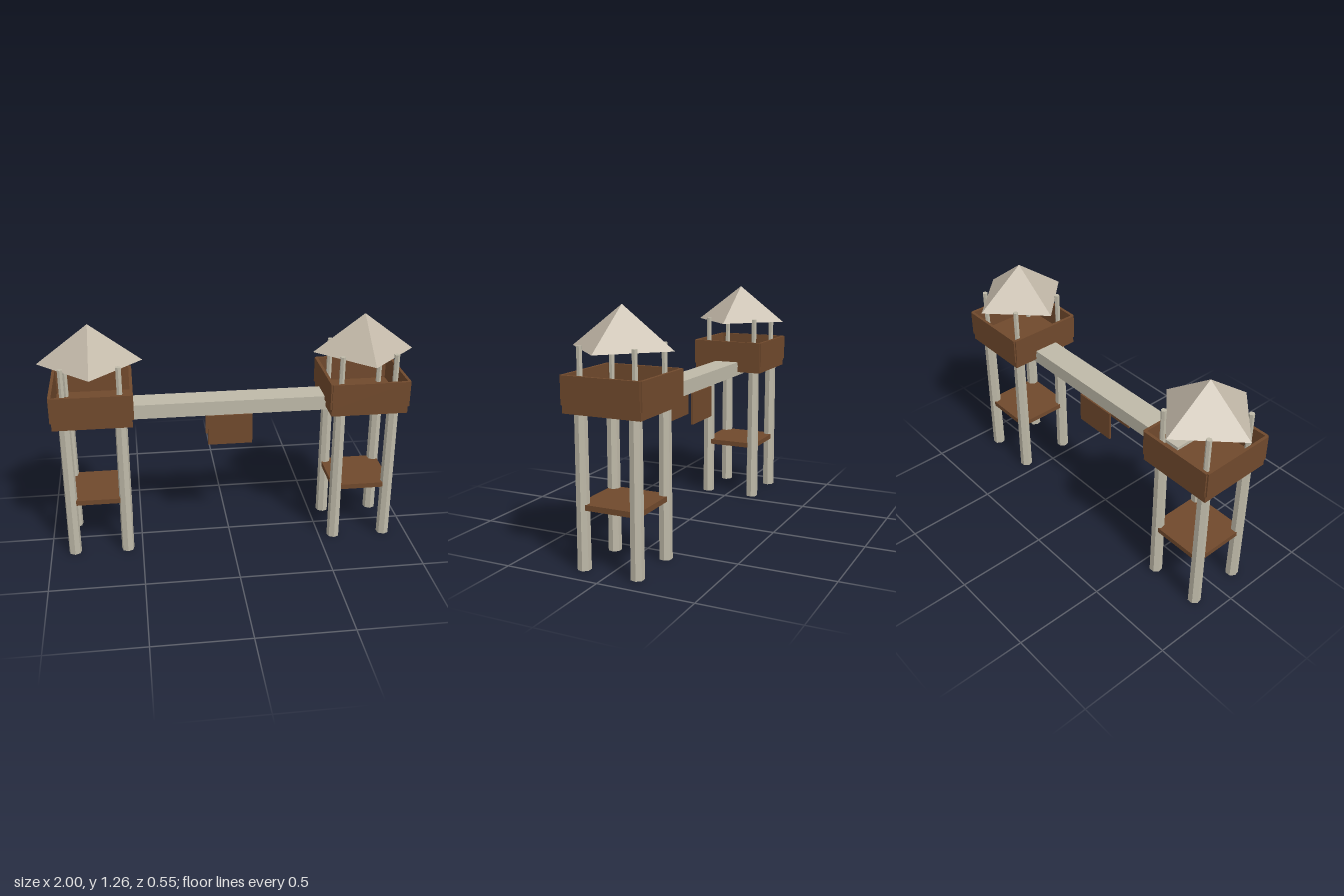
import * as THREE from 'three';

const mat = (name, color) => {
  const m = new THREE.MeshStandardMaterial({ color });
  m.name = name;
  return m;
};

export function createModel() {
  const timber = mat('pale timber', 0xbeb9a8);
  const roofing = mat('roof canvas', 0xc2b8a8);
  const brown = mat('brown boards', 0x70492c);

  // Flat facets come from unshared vertices with computed normals
  const faceted = (geometry) => {
    const g = geometry.toNonIndexed();
    g.computeVertexNormals();
    return g;
  };

  const add = (parent, name, geometry, material, x, y, z) => {
    const mesh = new THREE.Mesh(geometry, material);
    mesh.name = name;
    mesh.position.set(x, y, z);
    parent.add(mesh);
    return mesh;
  };
  const box = (parent, name, material, w, y0, y1, d, x = 0, z = 0) =>
    add(parent, name, new THREE.BoxGeometry(w, y1 - y0, d), material, x, (y0 + y1) / 2, z);

  const legGeometry = faceted(new THREE.CylinderGeometry(0.032, 0.035, 0.77, 7));
  const postGeometry = faceted(new THREE.CylinderGeometry(0.015, 0.015, 0.27, 6));
  const roofGeometry = faceted(new THREE.ConeGeometry(0.273, 0.205, 4));

  function makeTower() {
    const tower = new THREE.Group();

    // Legs and the slim roof posts above them
    for (const sx of [-1, 1]) {
      for (const sz of [-1, 1]) {
        add(tower, 'leg', legGeometry, timber, sx * 0.145, 0.385, sz * 0.145);
        add(tower, 'roofPost', postGeometry, timber, sx * 0.145, 0.945, sz * 0.145);
      }
    }

    // Lower shelf and upper floor
    box(tower, 'shelf', brown, 0.33, 0.302, 0.33, 0.33);
    box(tower, 'floor', brown, 0.412, 0.77, 0.812, 0.412);

    // Parapet walls, centred on the floor's edges
    for (const s of [-1, 1]) {
      box(tower, 'sideWall', brown, 0.016, 0.81, 0.95, 0.412, s * 0.206, 0);
      box(tower, 'endWall', brown, 0.412, 0.81, 0.95, 0.016, 0, s * 0.206);
    }

    // Pyramid roof with its corners on the axes
    add(tower, 'roof', roofGeometry, roofing, 0, 1.1625, 0);
    return tower;
  }

  const model = new THREE.Group();
  model.name = 'twinTowers';

  for (const [name, x] of [['leftTower', 0.727], ['rightTower', -0.727]]) {
    const tower = makeTower();
    tower.name = name;
    tower.position.x = x;
    model.add(tower);
  }

  // Bridge between the towers, its ends reaching onto the floors
  box(model, 'bridgeDeck', timber, 1.234, 0.802, 0.83, 0.14);
  box(model, 'bridgeBeam', timber, 1.234, 0.75, 0.802, 0.135);

  // Boards hanging from both sides of the bridge
  for (const s of [-1, 1]) {
    box(model, 'hangingBoard', brown, 0.24, 0.58, 0.75, 0.012, 0, s * 0.0705);
  }
  return model;
}
